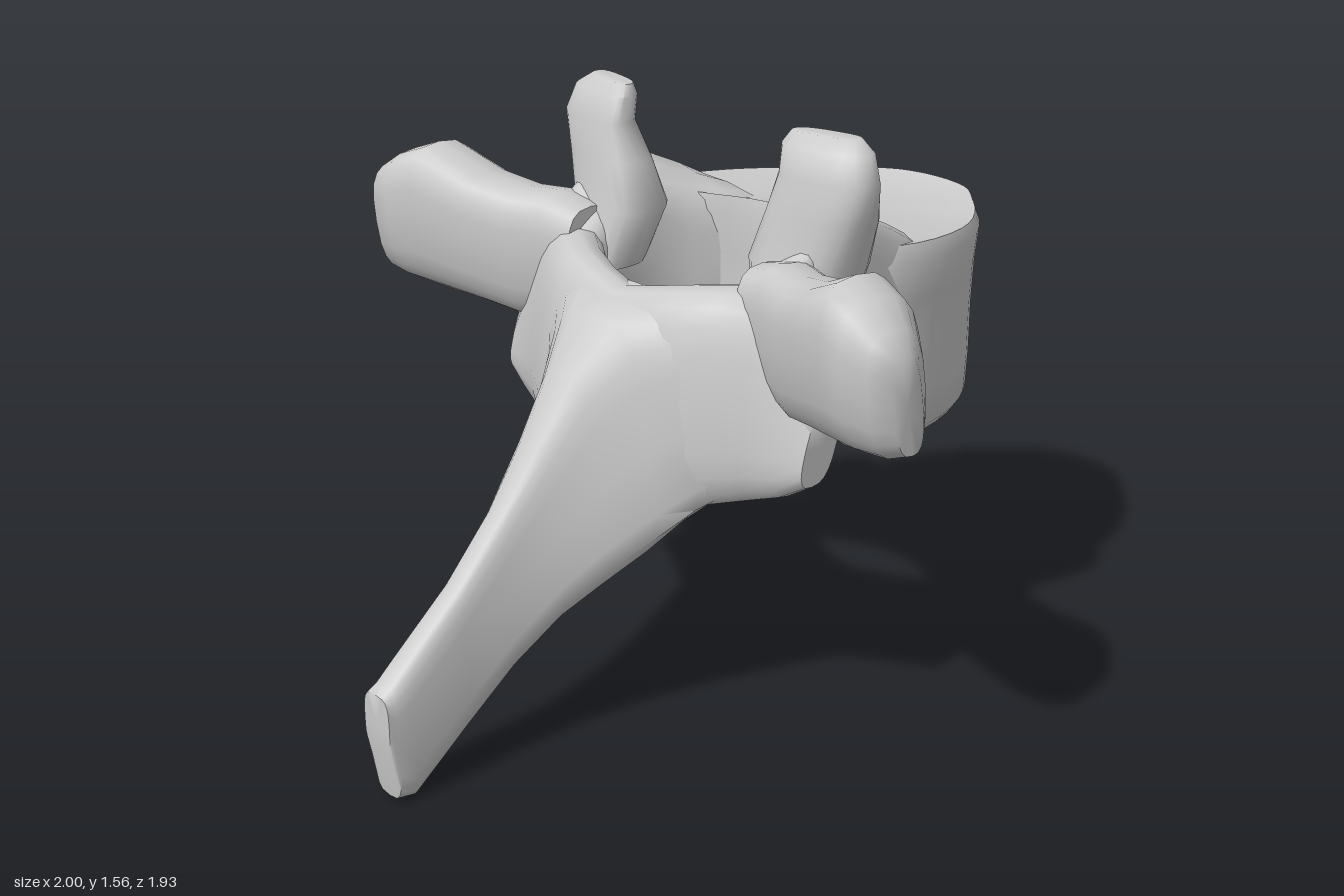
import * as THREE from 'three';
import { toCreasedNormals } from 'three/addons/utils/BufferGeometryUtils.js';

const material = new THREE.MeshStandardMaterial({ color: 0xcccccc, side: THREE.DoubleSide });
const V = (x, y, z) => new THREE.Vector3(x, y, z);
const mix = THREE.MathUtils.lerp;

// Closed skin through a list of rings with equal point counts, capped at both ends
function skin(rings, crease = 0.9) {
  const n = rings[0].length, pos = [], idx = [];
  rings.forEach(r => r.forEach(p => pos.push(p.x, p.y, p.z)));
  for (let i = 0; i < rings.length - 1; i++)
    for (let j = 0; j < n; j++) {
      const a = i * n + j, b = i * n + (j + 1) % n;
      idx.push(a, b, a + n, b, b + n, a + n);
    }
  [0, rings.length - 1].forEach((i, end) => {
    const c = V(0, 0, 0);
    rings[i].forEach(p => c.addScaledVector(p, 1 / n));
    const k = pos.length / 3;
    pos.push(c.x, c.y, c.z);
    for (let j = 0; j < n; j++) {
      const a = i * n + j, b = i * n + (j + 1) % n;
      if (end) idx.push(a, b, k); else idx.push(b, a, k);
    }
  });
  // Turn the faces outward when the enclosed volume comes out negative
  const at = i => V(pos[3 * i], pos[3 * i + 1], pos[3 * i + 2]);
  let volume = 0;
  for (let t = 0; t < idx.length; t += 3)
    volume += at(idx[t]).dot(at(idx[t + 1]).cross(at(idx[t + 2])));
  if (volume < 0) idx.reverse();
  const g = new THREE.BufferGeometry();
  g.setAttribute('position', new THREE.Float32BufferAttribute(pos, 3));
  g.setIndex(idx);
  return toCreasedNormals(g, crease);
}

// Rounded section: centre, two half-axes, squareness below 1
function ring(c, u, v, square = 0.75, n = 20) {
  const f = t => Math.sign(t) * Math.pow(Math.abs(t), square);
  return Array.from({ length: n }, (_, i) => {
    const a = i / n * Math.PI * 2;
    return c.clone().addScaledVector(u, f(Math.cos(a))).addScaledVector(v, f(Math.sin(a)));
  });
}

function part(name, geometry) {
  const m = new THREE.Mesh(geometry, material);
  m.name = name;
  return m;
}

// Kidney-shaped drum with a slim waist; the upper rim rises toward the canal
function vertebralBody() {
  const half = [[0.975, 0.13], [0.9, 0.22], [0.8, 0.315], [0.64, 0.405], [0.41, 0.45], [0.25, 0.41], [0.28, 0.27], [0.36, 0.13]];
  const pts = [[1, 0], ...half, [0.385, 0], ...half.slice().reverse().map(([x, z]) => [x, -z])];
  const outline = new THREE.CatmullRomCurve3(pts.map(([x, z]) => V(x, 0, z)), true).getPoints(54).slice(0, 54);
  const levels = [[0.71, 0.6, 0, 0], [0.695, 0.93, -0.01, 0], [0.72, 0.98, -0.015, 0], [0.82, 0.985, -0.012, 0],
    [0.96, 0.97, -0.004, 0], [1.08, 0.975, 0, 0], [1.17, 1, 0, 0.05], [1.205, 0.96, 0, 0.08], [1.185, 0.75, 0, 0.08]];
  return skin(levels.map(([y, s, dx, rise]) => outline.map(p => {
    const x = 0.64 + (p.x - 0.64) * s + dx;
    return V(x, y + rise * Math.max(0, 0.75 - x), p.z * s);
  })), 0.7);
}

// Wedge from drum to arch, higher on its outer side: [x, y low, y inner, y outer, z inner, z outer]
function pedicle(s) {
  const rows = [[0.56, 0.8, 1.15, 1.16, 0.12, 0.38], [0.44, 0.76, 1.22, 1.25, 0.14, 0.43],
    [0.35, 0.75, 1.23, 1.31, 0.18, 0.44], [0.26, 0.76, 1.24, 1.36, 0.23, 0.44], [0.18, 0.92, 1.26, 1.41, 0.26, 0.45],
    [0.06, 0.95, 1.25, 1.34, 0.28, 0.45], [-0.06, 0.92, 1.18, 1.25, 0.26, 0.45]];
  return skin(rows.map(([x, y0, yIn, yOut, z0, z1]) =>
    ring(V(x, 0.5, 0.5), V(0, 0.5, 0), V(0, 0, 0.5), 0.5).map(p =>
      V(x, mix(y0, mix(yIn, yOut, p.z), p.y), s * mix(z0, z1, p.z)))));
}

// Thin upright plate: [y, x, z, half thickness, half width]
function superiorFacet(s) {
  const rows = [[1.08, 0.07, 0.36, 0.1, 0.1], [1.24, 0.11, 0.35, 0.11, 0.14], [1.36, 0.11, 0.39, 0.085, 0.14],
    [1.46, 0.1, 0.42, 0.063, 0.13], [1.53, 0.11, 0.405, 0.053, 0.12], [1.56, 0.12, 0.39, 0.03, 0.09]];
  return skin(rows.map(([y, x, z, t, w]) =>
    ring(V(x, y, s * z), V(t, 0, 0), V(0.02, 0, s * w), 0.75)));
}

// Stout arm with a knobbed end: [x, y, z, half width, half height]
function transverseProcess(s) {
  const rows = [[0, 1.09, 0.32, 0.1, 0.16], [-0.015, 1.09, 0.42, 0.115, 0.185], [-0.055, 1.09, 0.52, 0.115, 0.185],
    [-0.1, 1.115, 0.63, 0.12, 0.185], [-0.155, 1.16, 0.77, 0.13, 0.205], [-0.175, 1.15, 0.85, 0.13, 0.185],
    [-0.2, 1.13, 0.925, 0.09, 0.155], [-0.205, 1.115, 0.965, 0.045, 0.125]];
  return skin(rows.map(([x, y, z, w, h]) =>
    ring(V(x, y, s * z), V(w, 0, s * w * 0.05), V(-0.02, h, 0), 0.7)));
}

// Bent plate behind the canal, spreading to the lower facets: [z, x, y, half thickness, half height]
function lamina() {
  const side = [[0.1, -0.2, 0.89, 0.085, 0.28], [0.2, -0.17, 0.9, 0.1, 0.29], [0.3, -0.11, 0.92, 0.115, 0.28],
    [0.4, -0.06, 0.93, 0.105, 0.26], [0.48, -0.05, 0.9, 0.085, 0.2], [0.56, -0.05, 0.85, 0.055, 0.1]];
  const rows = [...side.slice().reverse().map(([z, ...r]) => [-z, ...r]), [0, -0.215, 0.88, 0.085, 0.27], ...side];
  return skin(rows.map(([z, x, y, t, h]) => ring(V(x, y, z), V(t, 0, 0), V(0.03, h, 0), 0.7)));
}

// Long roof-shaped blade sweeping down and back: [x, y low, y high, half width low, half width high]
function spinousProcess() {
  const rows = [[-0.15, 0.63, 1.15, 0.4, 0.37], [-0.22, 0.57, 1.14, 0.335, 0.25], [-0.3, 0.49, 1.1, 0.27, 0.15],
    [-0.4, 0.415, 0.98, 0.195, 0.085], [-0.5, 0.35, 0.83, 0.135, 0.065], [-0.62, 0.245, 0.665, 0.08, 0.05],
    [-0.76, 0.125, 0.51, 0.06, 0.048], [-0.92, 0.0, 0.37, 0.058, 0.052], [-0.975, 0.01, 0.32, 0.058, 0.052],
    [-1, 0.15, 0.3, 0.052, 0.05]];
  return skin(rows.map(([x, y0, y1, w0, w1]) =>
    ring(V(x, 0.5, 0), V(0, 0.5, 0), V(0, 0, 1), 0.55).map(p =>
      V(x, mix(y0, y1, p.y), 0.008 + p.z * mix(w0, w1, p.y)))));
}

export function createModel() {
  const model = new THREE.Group();
  model.name = 'vertebra';
  model.add(
    part('vertebralBody', vertebralBody()),
    part('lamina', lamina()),
    part('spinousProcess', spinousProcess()),
  );
  for (const [s, side] of [[1, 'front'], [-1, 'back']]) {
    model.add(
      part(side + 'Pedicle', pedicle(s)),
      part(side + 'SuperiorFacet', superiorFacet(s)),
      part(side + 'TransverseProcess', transverseProcess(s)),
    );
  }
  return model;
}
